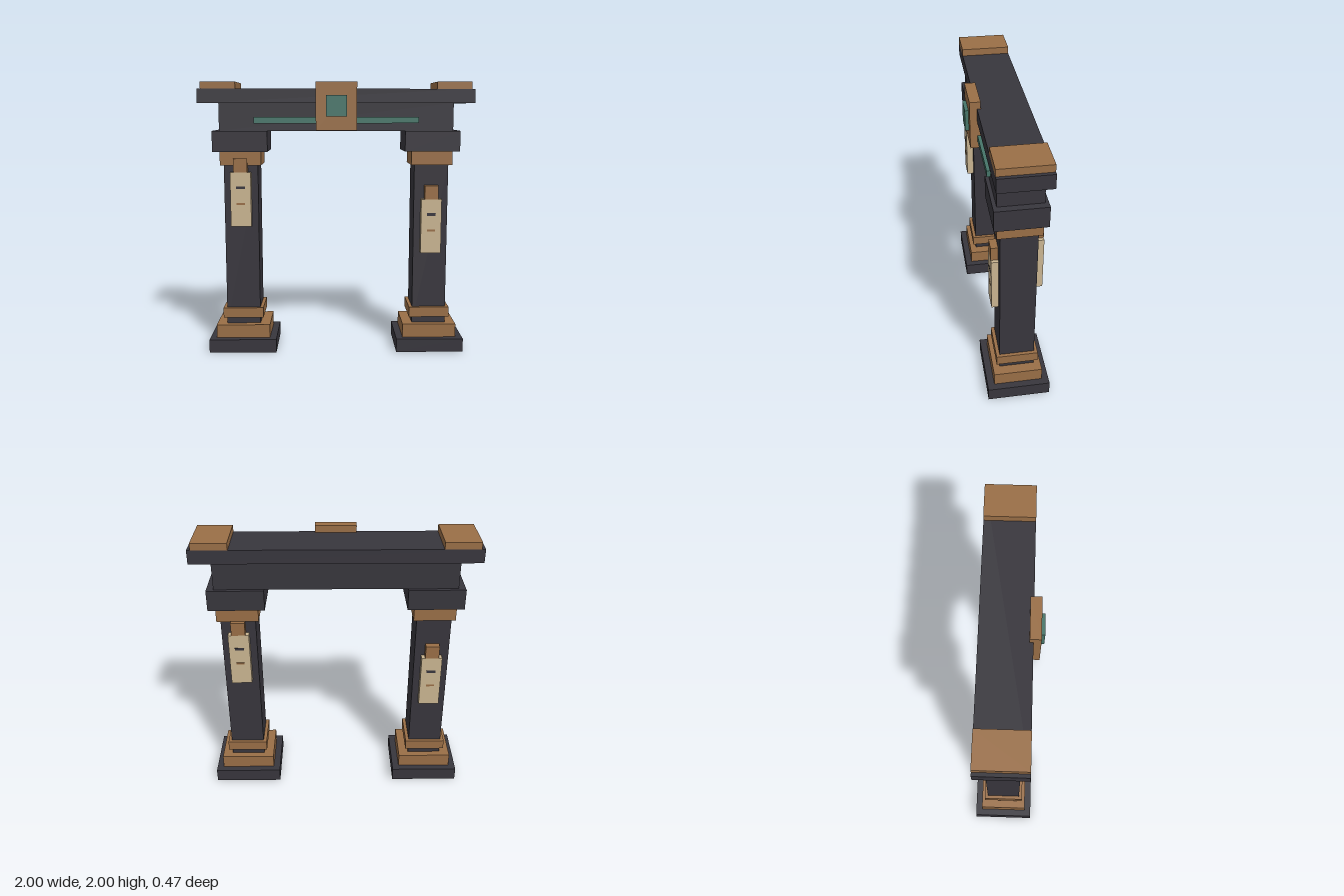
import * as THREE from 'three';

const material = (name, color) => {
  const m = new THREE.MeshStandardMaterial({ color });
  m.name = name;
  return m;
};

export function createModel() {
  const stone = material('dark stone', 0x38363d);
  const bronze = material('bronze', 0x9a6f47);
  const paper = material('parchment', 0xcbb692);
  const jade = material('jade', 0x47766a);

  const gate = new THREE.Group();
  gate.name = 'gateway';
  const zMid = -0.0125; // middle of the pillars and beams

  // Box given by its centre x, width, bottom, top, and z range
  function box(parent, name, mat, x, w, y0, y1, z0, z1) {
    const mesh = new THREE.Mesh(new THREE.BoxGeometry(w, y1 - y0, z1 - z0), mat);
    mesh.position.set(x, (y0 + y1) / 2, (z0 + z1) / 2);
    mesh.name = name;
    parent.add(mesh);
  }
  const block = (parent, name, mat, x, w, y0, y1, d) =>
    box(parent, name, mat, x, w, y0, y1, zMid - d / 2, zMid + d / 2);

  // Hanging plaque on the front (dir 1) or back (dir -1) of a pillar
  function plaque(parent, x, bottom, dir) {
    const g = new THREE.Group();
    g.name = dir > 0 ? 'frontPlaque' : 'backPlaque';
    g.position.set(x, bottom, zMid + dir * 0.125);
    if (dir < 0) g.rotation.y = Math.PI;
    box(g, 'plaquePanel', paper, 0, 0.15, 0, 0.4, 0, 0.05);
    box(g, 'plaqueHanger', bronze, 0, 0.1, 0.4, 0.5, 0, 0.05);
    box(g, 'upperMark', stone, 0, 0.065, 0.278, 0.298, 0.049, 0.052);
    box(g, 'lowerMark', bronze, 0, 0.06, 0.16, 0.175, 0.049, 0.052);
    parent.add(g);
  }

  // Pillars with stepped bases, collars and brackets
  for (const side of [-1, 1]) {
    const pillar = new THREE.Group();
    pillar.name = side > 0 ? 'leftPillar' : 'rightPillar';
    const x = 0.7 * side;
    block(pillar, 'footing', stone, x, 0.5, 0, 0.1, 0.45);
    block(pillar, 'plinth', bronze, x, 0.4, 0.1, 0.2, 0.35);
    block(pillar, 'shaft', stone, x, 0.25, 0.2, 1.4, 0.25);
    block(pillar, 'lowerCollar', bronze, x, 0.3, 0.25, 0.325, 0.3);
    block(pillar, 'capital', bronze, x, 0.3, 1.4, 1.5, 0.3);
    block(pillar, 'bracket', stone, x, 0.4, 1.5, 1.65, 0.35);
    plaque(pillar, x, side > 0 ? 0.75 : 0.95, 1);
    plaque(pillar, x, side > 0 ? 0.9 : 0.7, -1);
    gate.add(pillar);
    block(gate, 'roofCap', bronze, 0.85 * side, 0.25, 1.95, 2, 0.35);
  }

  // Crossbeams
  block(gate, 'beam', stone, 0, 1.7, 1.65, 1.85, 0.3);
  block(gate, 'cornice', stone, 0, 2, 1.85, 1.95, 0.35);

  // Inlay strip and central tablet
  box(gate, 'inlayStrip', jade, 0, 1.19, 1.705, 1.75, 0.1375, 0.1625);
  box(gate, 'centreTablet', bronze, 0, 0.295, 1.655, 2, 0.1375, 0.2125);
  box(gate, 'tabletGem', jade, 0, 0.15, 1.755, 1.905, 0.2125, 0.2375);

  return gate;
}
